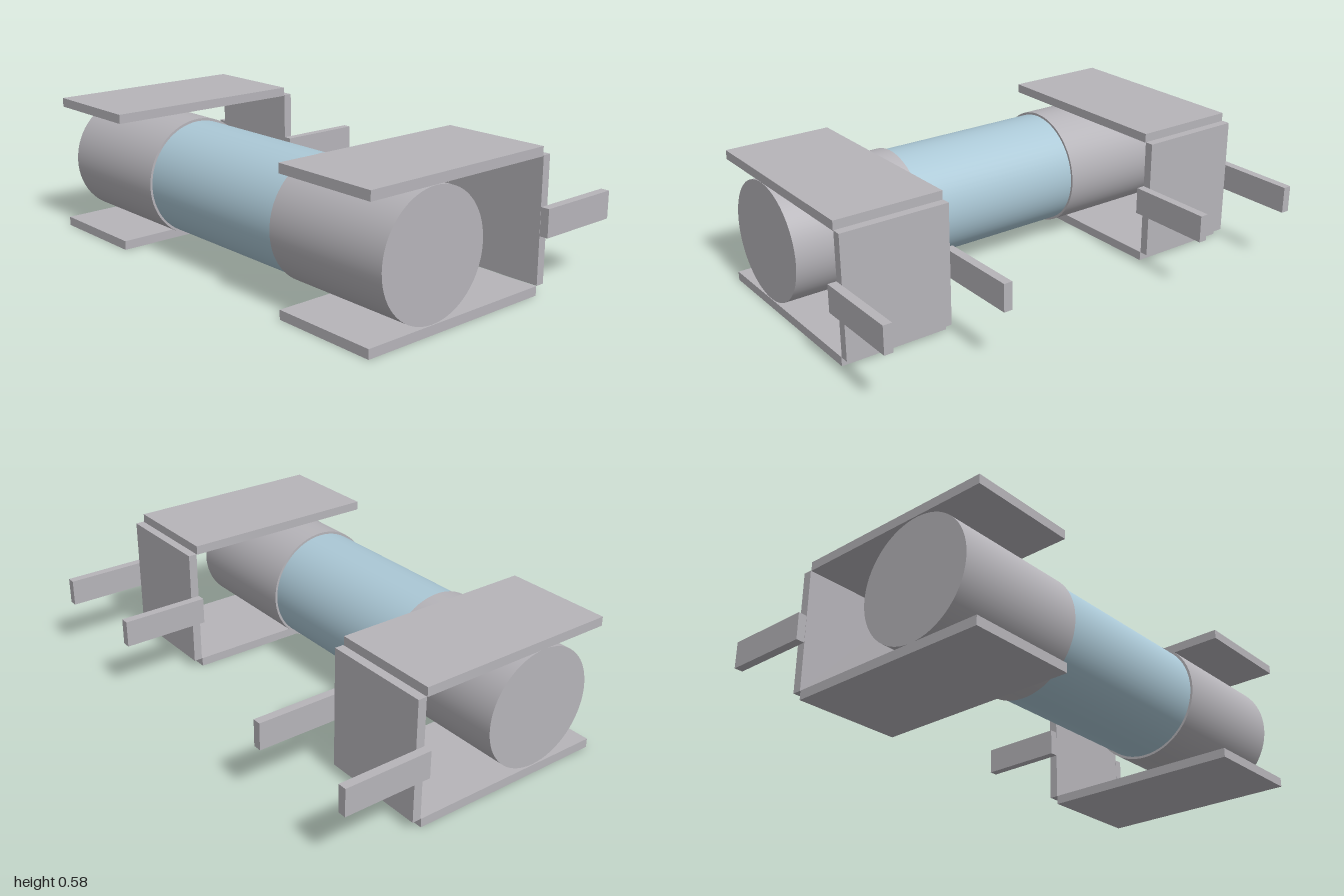
import * as THREE from 'three';

export function createModel() {
  const metal = new THREE.MeshStandardMaterial({ name: 'grey metal', color: 0xb6b4b9 });
  const glass = new THREE.MeshStandardMaterial({ name: 'pale blue glass', color: 0xabc8d6 });
  const model = new THREE.Group();
  model.name = 'fuseWithClips';

  const AXIS_Y = 0.289, AXIS_Z = 0.318;

  // Cylinder lying along x between two ends
  function barrel(name, radius, x0, x1, material) {
    const geometry = new THREE.CylinderGeometry(radius, radius, x1 - x0, 64).rotateZ(Math.PI / 2);
    const mesh = new THREE.Mesh(geometry, material);
    mesh.name = name;
    mesh.position.set((x0 + x1) / 2, AXIS_Y, AXIS_Z);
    model.add(mesh);
  }

  // Box given by its low and high corners
  function box(parent, name, [x0, y0, z0], [x1, y1, z1]) {
    const mesh = new THREE.Mesh(new THREE.BoxGeometry(x1 - x0, y1 - y0, z1 - z0), metal);
    mesh.name = name;
    mesh.position.set((x0 + x1) / 2, (y0 + y1) / 2, (z0 + z1) / 2);
    parent.add(mesh);
  }

  // Fuse body with its two end caps
  barrel('glassTube', 0.239, -0.385, 0.382, glass);
  barrel('rightCap', 0.249, -0.96, -0.385, metal);
  barrel('leftCap', 0.249, 0.382, 0.957, metal);

  // One clip at each end: two jaws, a back plate and two pins
  for (const [name, x] of [['rightClip', -0.7355], ['leftClip', 0.7305]]) {
    const clip = new THREE.Group();
    clip.name = name;
    clip.position.x = x;
    const w = 0.2275;
    box(clip, 'lowerJaw', [-w, 0, -0.247], [w, 0.038, 0.622]);
    box(clip, 'upperJaw', [-w, 0.54, -0.247], [w, 0.578, 0.622]);
    box(clip, 'backPlate', [-w, 0.038, -0.287], [w, 0.543, -0.25]);
    for (const side of [-1, 1]) {
      const c = side * 0.2465;
      box(clip, side < 0 ? 'rightPin' : 'leftPin', [c - 0.018, 0.234, -0.622], [c + 0.018, 0.347, -0.25]);
    }
    model.add(clip);
  }
  return model;
}
